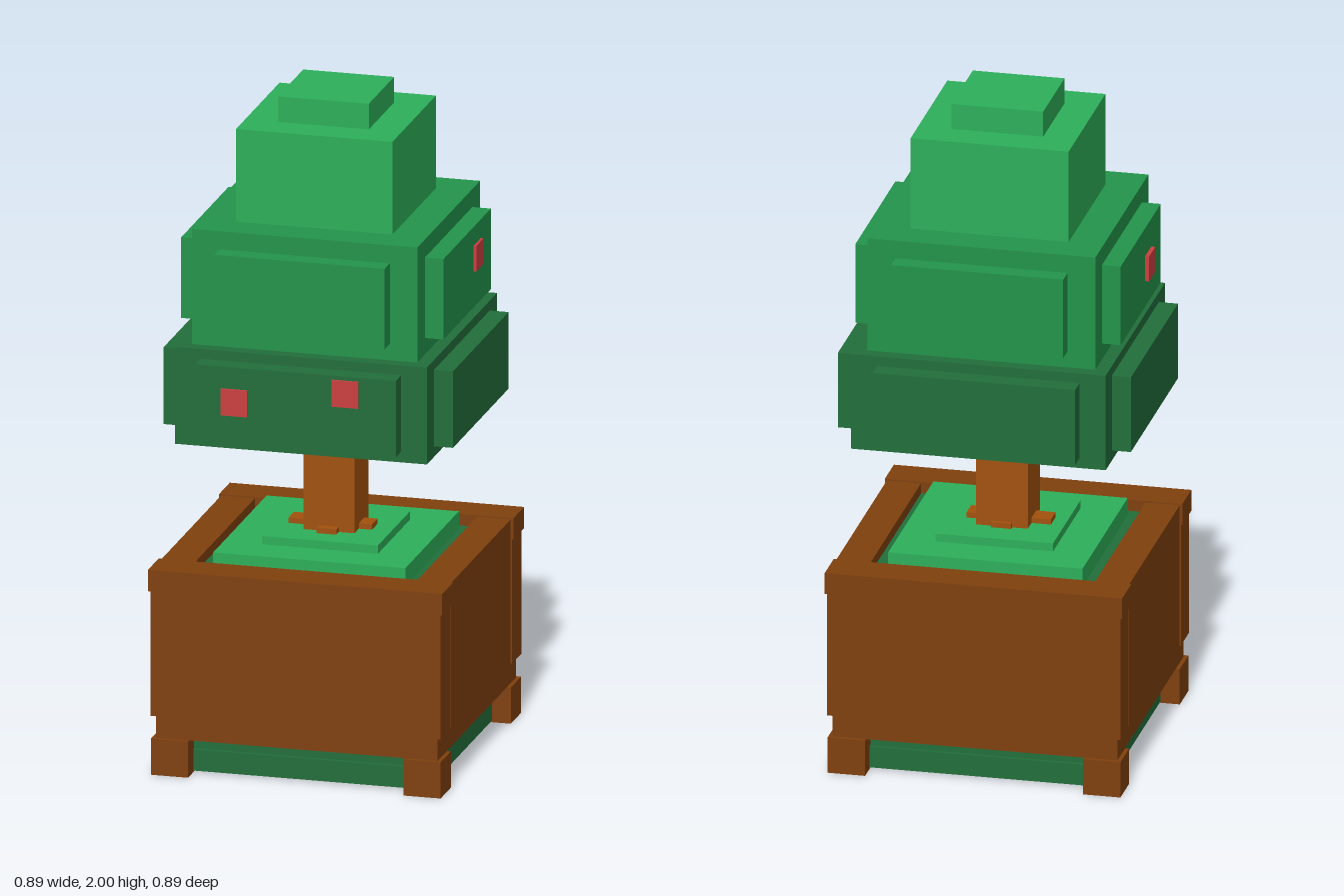
import * as THREE from 'three';

function mat(name, color) {
  const m = new THREE.MeshStandardMaterial({ color });
  m.name = name;
  return m;
}

export function createModel() {
  const root = new THREE.Group();
  root.name = 'pottedTree';

  const wood = mat('planterBrown', 0x80400d);
  const bark = mat('trunkBrown', 0xa3520c);
  const dark = mat('darkGreen', 0x226f3b);
  const mid = mat('midGreen', 0x22954b);
  const light = mat('lightGreen', 0x2db05a);
  const red = mat('berryRed', 0xcc4040);

  // Box given by its lower and upper limits on each axis
  function box(name, material, [x0, x1], [y0, y1], [z0, z1], parent = root) {
    const mesh = new THREE.Mesh(new THREE.BoxGeometry(x1 - x0, y1 - y0, z1 - z0), material);
    mesh.position.set((x0 + x1) / 2, (y0 + y1) / 2, (z0 + z1) / 2);
    mesh.name = name;
    parent.add(mesh);
    return mesh;
  }
  const sym = (h) => [-h, h];
  const side = (s, a, b) => (s > 0 ? [a, b] : [-b, -a]);

  // Planter: base, feet, lower band and boards
  const planter = new THREE.Group();
  planter.name = 'planter';
  root.add(planter);
  box('baseLower', dark, sym(0.38), [0.005, 0.07], sym(0.38), planter);
  box('baseUpper', dark, sym(0.37), [0.07, 0.115], sym(0.37), planter);
  box('lowerBand', wood, sym(0.425), [0.11, 0.18], sym(0.425), planter);
  box('core', dark, sym(0.338), [0.18, 0.59], sym(0.335), planter);
  for (const s of [-1, 1]) {
    for (const t of [-1, 1])
      box('foot', wood, side(s, 0.325, 0.437), [0, 0.11], side(t, 0.325, 0.437), planter);
    box('endBoard', wood, sym(0.438), [0.18, 0.56], side(s, 0.335, 0.44), planter);
    box('endBoardCap', wood, sym(0.444), [0.56, 0.625], side(s, 0.328, 0.444), planter);
    box('sideBoard', wood, side(s, 0.335, 0.437), [0.18, 0.622], sym(0.324), planter);
  }

  // Grass mound
  box('moundLower', light, sym(0.29), [0.59, 0.645], sym(0.29));
  box('moundUpper', light, sym(0.175), [0.645, 0.67], sym(0.175));

  // Trunk and roots
  box('trunk', bark, sym(0.077), [0.66, 1.0], sym(0.077));
  box('rootsAcross', bark, [-0.135, 0.117], [0.66, 0.686], [-0.03, 0.03]);
  box('rootsAlong', bark, [-0.03, 0.03], [0.66, 0.686], [-0.09, 0.105]);

  // Foliage tiers; the lower two carry a raised panel on every side
  const tiers = [
    { name: 'lowerTier', m: dark, h: 0.38, y: [0.995, 1.29], panel: { w: 0.302, out: 0.437, y: [1.027, 1.26] } },
    { name: 'middleTier', m: mid, h: 0.34, y: [1.29, 1.64], panel: { w: 0.257, out: 0.396, y: [1.34, 1.585] } },
    { name: 'upperTier', m: light, h: 0.236, y: [1.64, 1.922] },
    { name: 'tipTier', m: light, h: 0.137, y: [1.922, 2.0] },
  ];
  for (const { name, m, h, y, panel } of tiers) {
    const tier = new THREE.Group();
    tier.name = name;
    root.add(tier);
    box('block', m, sym(h), y, sym(h), tier);
    if (!panel) continue;
    for (const s of [-1, 1]) {
      box('sidePanel', m, side(s, h, panel.out), panel.y, sym(panel.w), tier);
      box('facePanel', m, sym(panel.w), panel.y, side(s, h, panel.out), tier);
    }
  }

  // Berries
  box('berry', red, [-0.225, -0.145], [1.113, 1.194], [0.436, 0.443]);
  box('berry', red, [0.11, 0.19], [1.167, 1.248], [0.436, 0.443]);
  box('berry', red, [0.395, 0.404], [1.45, 1.528], [-0.147, -0.07]);
  box('berry', red, [-0.408, -0.395], [1.42, 1.498], [0.058, 0.136]);

  return root;
}
